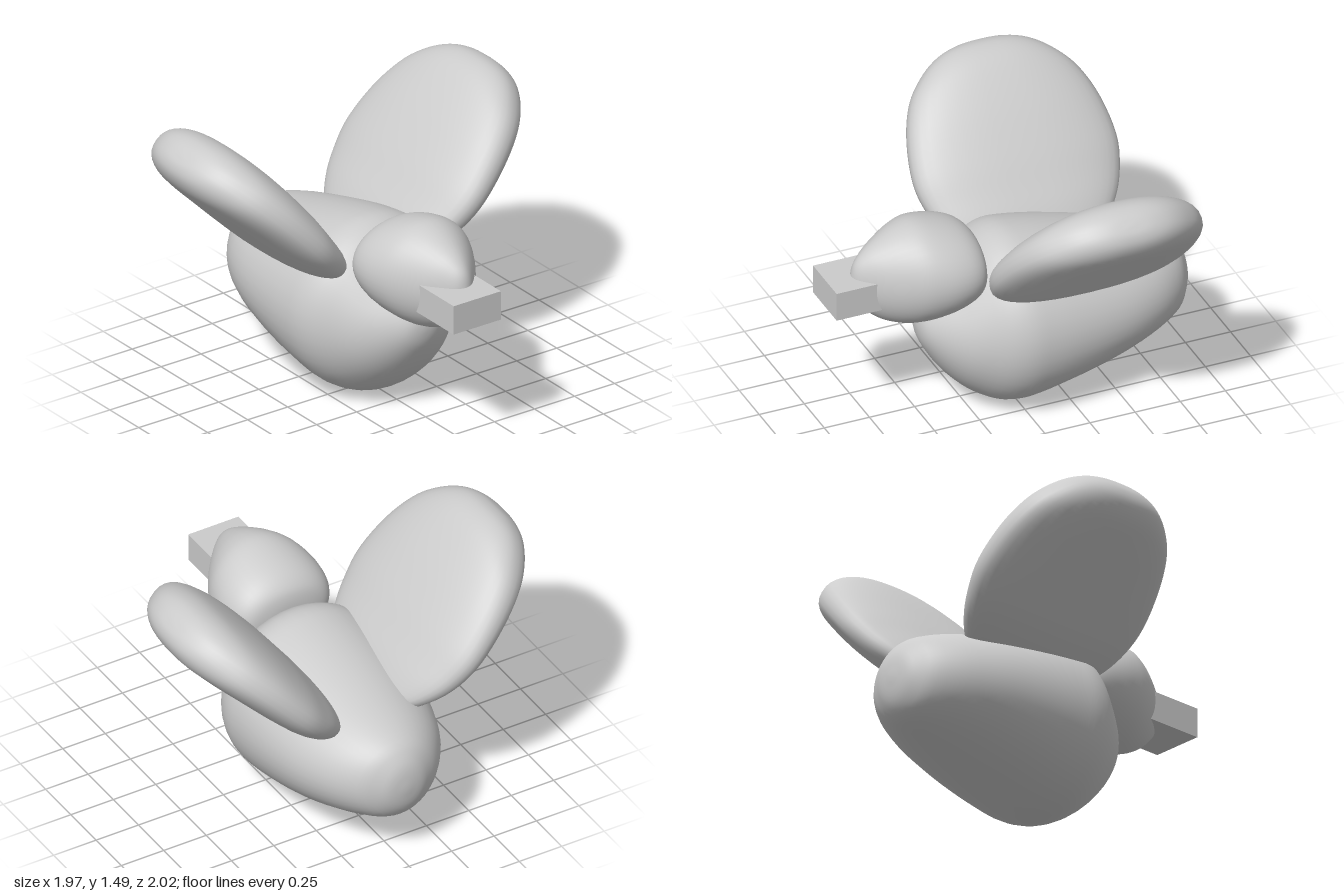
import * as THREE from 'three';

const RINGS = 48, SIDES = 40;

// Closed smooth form along local x. Each section is [x, centreY, radiusY, radiusZ]; end radii are 0.
// power below 1 squares off the oval cross-section.
function loft(sections, power = 1) {
  const spine = new THREE.CatmullRomCurve3(
    sections.map(([x, y]) => new THREE.Vector3(x, y, 0)), false, 'catmullrom', 0.5);
  const radii = new THREE.CatmullRomCurve3(
    sections.map(([, , ry, rz]) => new THREE.Vector3(ry, rz, 0)), false, 'catmullrom', 0.5);
  const soften = (v) => Math.sign(v) * Math.abs(v) ** power;
  const positions = [], index = [];
  for (let i = 0; i <= RINGS; i++) {
    const c = spine.getPoint(i / RINGS), r = radii.getPoint(i / RINGS);
    for (let j = 0; j < SIDES; j++) {
      const a = (j / SIDES) * Math.PI * 2;
      positions.push(c.x, c.y + r.x * soften(Math.cos(a)), r.y * soften(Math.sin(a)));
    }
  }
  for (let i = 0; i < RINGS; i++) {
    for (let j = 0; j < SIDES; j++) {
      const k = (j + 1) % SIDES;
      const a = i * SIDES + j, b = i * SIDES + k;
      const c = a + SIDES, d = b + SIDES;
      if (i > 0) index.push(a, b, c);
      if (i < RINGS - 1) index.push(b, d, c);
    }
  }
  const g = new THREE.BufferGeometry();
  g.setAttribute('position', new THREE.Float32BufferAttribute(positions, 3));
  g.setIndex(index);
  g.computeVertexNormals();
  // Pole normals point straight along the axis
  const n = g.attributes.normal;
  for (let j = 0; j < SIDES; j++) {
    n.setXYZ(j, -1, 0, 0);
    n.setXYZ(RINGS * SIDES + j, 1, 0, 0);
  }
  return g;
}

export function createModel() {
  const model = new THREE.Group();
  const grey = new THREE.MeshStandardMaterial({ color: 0xcccccc });
  const add = (name, geometry) => {
    const mesh = new THREE.Mesh(geometry, grey);
    mesh.name = name;
    model.add(mesh);
    return mesh;
  };

  // Plump body, tapering to a blunt tail at -x
  add('body', loft([
    [-0.985, 0.48, 0, 0],
    [-0.972, 0.48, 0.1, 0.09],
    [-0.94, 0.48, 0.17, 0.155],
    [-0.88, 0.485, 0.228, 0.24],
    [-0.75, 0.487, 0.28, 0.335],
    [-0.58, 0.483, 0.332, 0.405],
    [-0.4, 0.48, 0.385, 0.445],
    [-0.22, 0.478, 0.432, 0.467],
    [-0.08, 0.476, 0.462, 0.474],
    [0.03, 0.475, 0.473, 0.47],
    [0.13, 0.468, 0.447, 0.436],
    [0.23, 0.452, 0.375, 0.368],
    [0.32, 0.442, 0.285, 0.297],
    [0.4, 0.452, 0.195, 0.21],
    [0.46, 0.47, 0.11, 0.12],
    [0.483, 0.478, 0.055, 0.06],
    [0.49, 0.48, 0, 0],
  ]));

  // Head, round from the side and wedge-shaped from above
  add('head', loft([
    [0.165, 0.83, 0, 0],
    [0.172, 0.83, 0.1, 0.13],
    [0.2, 0.83, 0.165, 0.23],
    [0.27, 0.835, 0.215, 0.283],
    [0.38, 0.835, 0.255, 0.3],
    [0.5, 0.835, 0.277, 0.28],
    [0.6, 0.827, 0.266, 0.235],
    [0.7, 0.822, 0.225, 0.17],
    [0.78, 0.827, 0.168, 0.105],
    [0.835, 0.83, 0.1, 0.05],
    [0.857, 0.83, 0, 0],
  ]));

  // Square-cut beak, set slightly to one side
  add('beak', new THREE.BoxGeometry(0.42, 0.16, 0.295))
    .position.set(0.775, 0.79, 0.027);

  // Raised paddle wings, mirrored across the body
  const wing = loft([
    [0.54, -0.337, 0, 0],
    [0.57, -0.337, 0.05, 0.2],
    [0.64, -0.337, 0.08, 0.36],
    [0.76, -0.33, 0.115, 0.465],
    [0.9, -0.325, 0.138, 0.53],
    [1.065, -0.33, 0.152, 0.56],
    [1.28, -0.333, 0.162, 0.53],
    [1.46, -0.328, 0.163, 0.46],
    [1.58, -0.32, 0.152, 0.36],
    [1.66, -0.312, 0.115, 0.25],
    [1.7, -0.306, 0.06, 0.13],
    [1.71, -0.305, 0, 0],
  ], 0.86);
  for (const side of [1, -1]) {
    const mesh = add(side > 0 ? 'leftWing' : 'rightWing', wing);
    const along = new THREE.Vector3(0, 0.72, 0.69 * side).normalize();
    const under = new THREE.Vector3(0, -0.69, 0.72 * side).normalize();
    const across = new THREE.Vector3(side, 0, 0);
    mesh.quaternion.setFromRotationMatrix(new THREE.Matrix4().makeBasis(along, under, across));
    mesh.position.x = -0.275;
  }
  return model;
}
